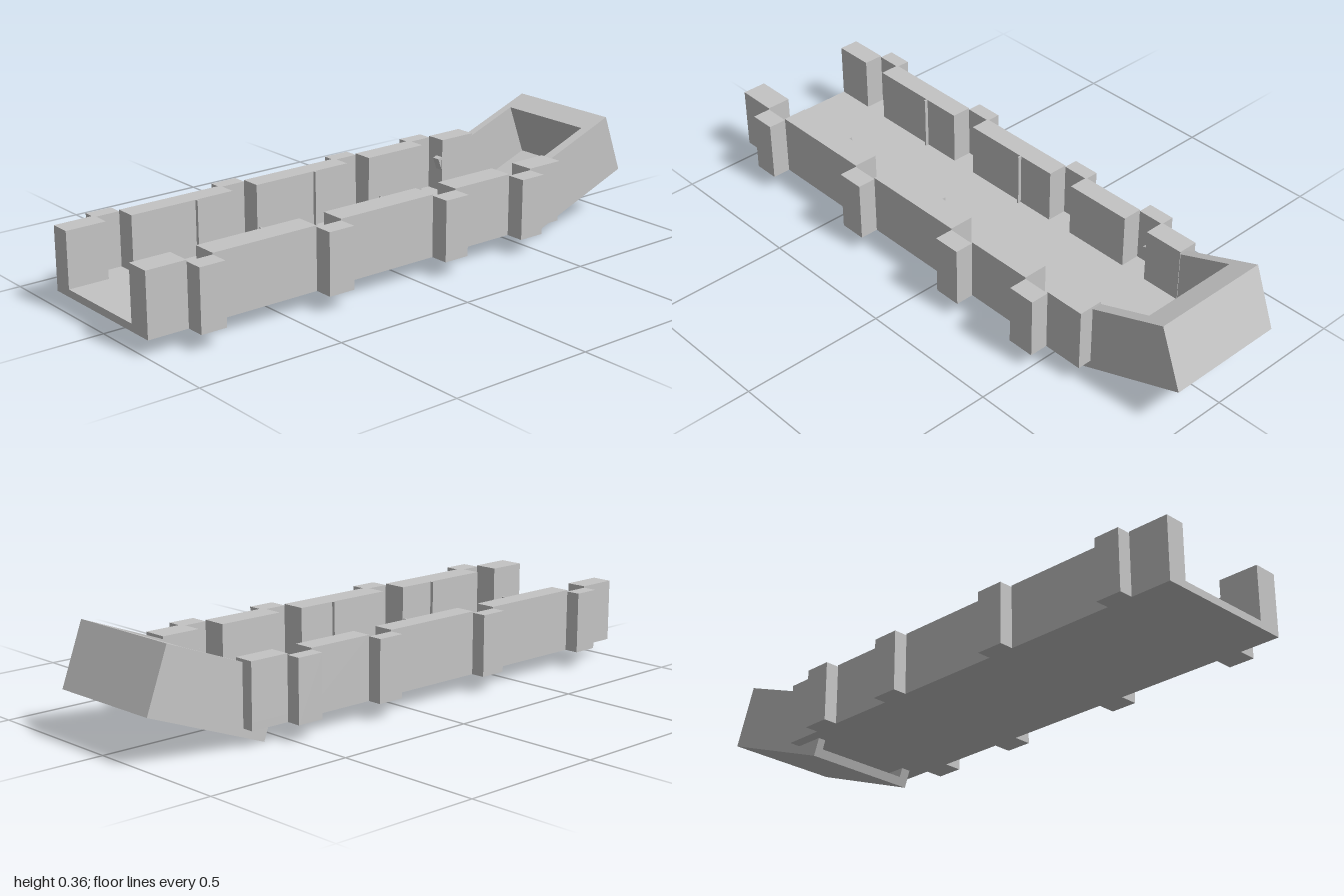
import * as THREE from 'three';

export function createModel() {
  const model = new THREE.Group();
  model.name = 'channelWithRaisedEnd';
  const grey = new THREE.MeshStandardMaterial({ color: 0xc4c4c4 });
  grey.name = 'plainGrey';

  // Box given by its lower and upper limits on each axis
  const box = (parent, name, [x0, x1], [y0, y1], [z0, z1]) => {
    const mesh = new THREE.Mesh(new THREE.BoxGeometry(x1 - x0, y1 - y0, z1 - z0), grey);
    mesh.position.set((x0 + x1) / 2, (y0 + y1) / 2, (z0 + z1) / 2);
    mesh.name = name;
    parent.add(mesh);
  };

  const base = 0.06, floorTop = 0.085, wallTop = 0.272, postTop = 0.267;
  const start = -1, end = 0.65;
  const posts = [[-0.86, -0.77], [-0.39, -0.295], [0.08, 0.175], [0.415, 0.51]];
  const ribs = [-0.53, -0.06];

  // Channel floor
  box(model, 'floor', [start, end], [base, floorTop], [-0.26, 0.245]);

  // The wall is broken at each post slot, which is closed by a post set outside
  const sides = [
    { name: 'front', wall: [0.16, 0.245], post: [0.245, 0.309], rib: [0.148, 0.16] },
    { name: 'back', wall: [-0.26, -0.19], post: [-0.309, -0.26], rib: [-0.19, -0.178] },
  ];
  for (const side of sides) {
    let from = start;
    for (const post of [...posts, [end, end]]) {
      box(model, side.name + 'Wall', [from, post[0]], [floorTop, wallTop], side.wall);
      from = post[1];
    }
    for (const post of posts) box(model, side.name + 'Post', post, [base, postTop], side.post);
    // Slim ribs on the inner face of the wall
    for (const x of ribs) box(model, side.name + 'Rib', [x - 0.003, x + 0.003], [floorTop, wallTop], side.rib);
  }

  // Raised end: an open tray tilted upward
  const tray = new THREE.Group();
  tray.name = 'raisedEnd';
  tray.position.set(0.57, 0.002, 0);
  tray.rotation.z = Math.atan2(0.161, 0.43);
  const length = 0.459, height = 0.216;
  box(tray, 'trayFloor', [0, length], [0, 0.03], [-0.22, 0.195]);
  box(tray, 'trayEnd', [length - 0.09, length], [0.03, height], [-0.22, 0.195]);
  box(tray, 'trayFrontSide', [0, length - 0.09], [0.03, height], [0.16, 0.195]);
  box(tray, 'trayBackSide', [0, length - 0.09], [0.03, height], [-0.22, -0.192]);
  model.add(tray);

  return model;
}
